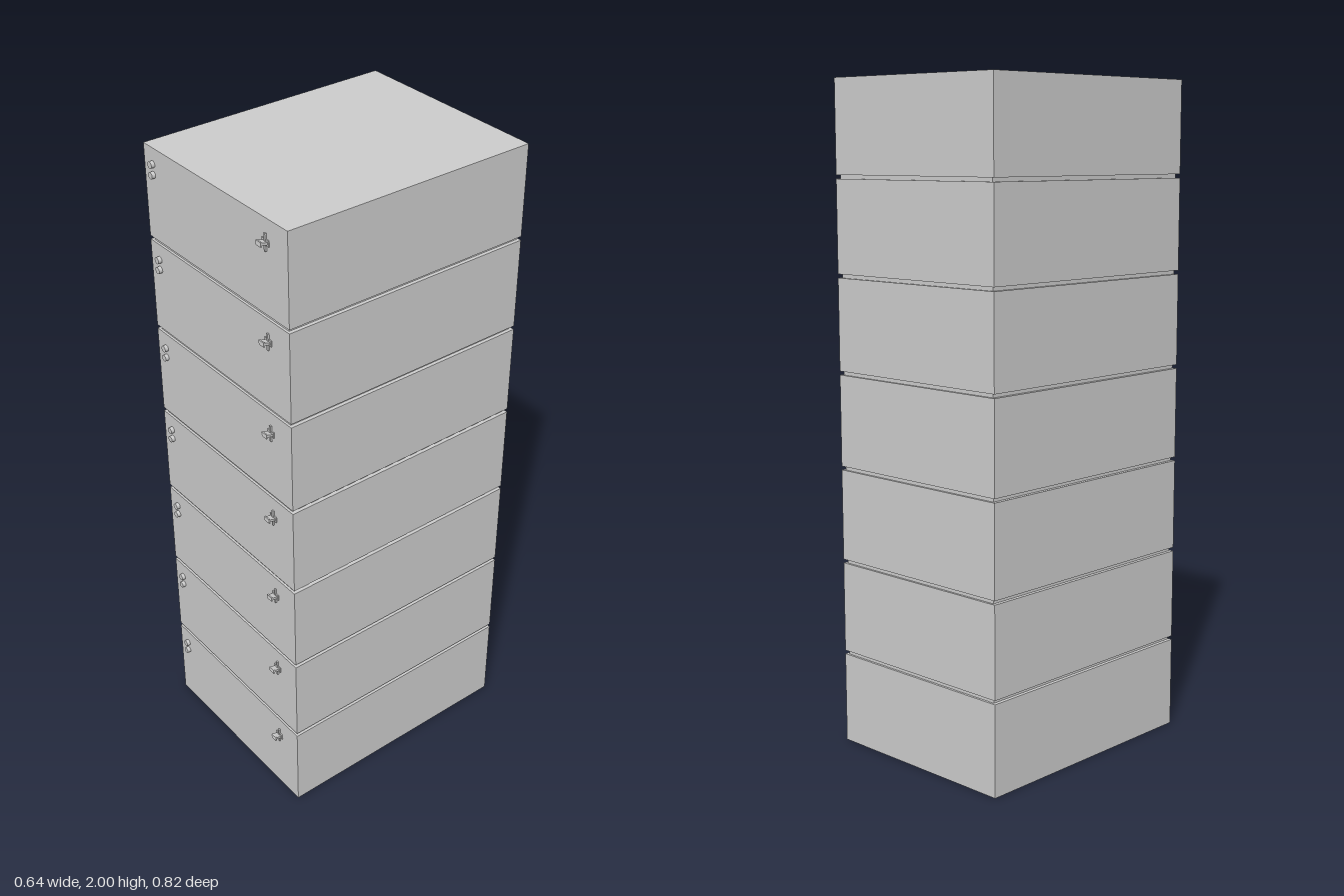
import * as THREE from 'three';

const COUNT = 7, BOX_H = 0.276, PITCH = (2 - BOX_H) / (COUNT - 1);
const WIDTH = 0.638, BACK = -0.411, FRONT = 0.387;
const DEPTH = FRONT - BACK, MID_Z = (FRONT + BACK) / 2;

export function createModel() {
  const model = new THREE.Group();
  const grey = new THREE.MeshStandardMaterial({ color: 0xcccccc });

  const add = (parent, name, geometry, x, y, z) => {
    const mesh = new THREE.Mesh(geometry, grey);
    mesh.name = name;
    mesh.position.set(x, y, z);
    parent.add(mesh);
    return mesh;
  };
  const box = (w, h, d) => new THREE.BoxGeometry(w, h, d);

  const buttonGeometry = new THREE.CylinderGeometry(0.01, 0.01, 0.012, 20).rotateX(Math.PI / 2);

  for (let i = 0; i < COUNT; i++) {
    const unit = new THREE.Group();
    unit.name = 'unit' + (i + 1);
    unit.position.y = i * PITCH;
    model.add(unit);

    // Main housing
    add(unit, 'housing', box(WIDTH, BOX_H, DEPTH), 0, BOX_H / 2, MID_Z);

    // Recessed spacer up to the next housing
    if (i < COUNT - 1) {
      const gap = PITCH - BOX_H;
      add(unit, 'spacer', box(WIDTH - 0.022, gap, DEPTH - 0.014), 0, BOX_H + gap / 2, MID_Z);
    }

    // Pair of round buttons at the upper corner
    for (const y of [0.228, 0.197]) add(unit, 'button', buttonGeometry, -0.278, y, FRONT + 0.005);

    // Latch: mounting plate, slim upright and raised lever
    const latch = new THREE.Group();
    latch.name = 'latch';
    latch.position.set(0.229, 0.21, FRONT);
    unit.add(latch);
    add(latch, 'latchPlate', box(0.028, 0.018, 0.004), 0, 0, 0.001);
    add(latch, 'latchUpright', box(0.006, 0.05, 0.006), 0, 0, 0.002);
    const lever = add(latch, 'latchLever', box(0.021, 0.007, 0.024), 0, 0.002, 0.012);
    lever.rotation.x = -0.25;
    add(latch, 'latchTip', box(0.021, 0.014, 0.004), 0, 0.003, 0.022);
  }
  return model;
}
